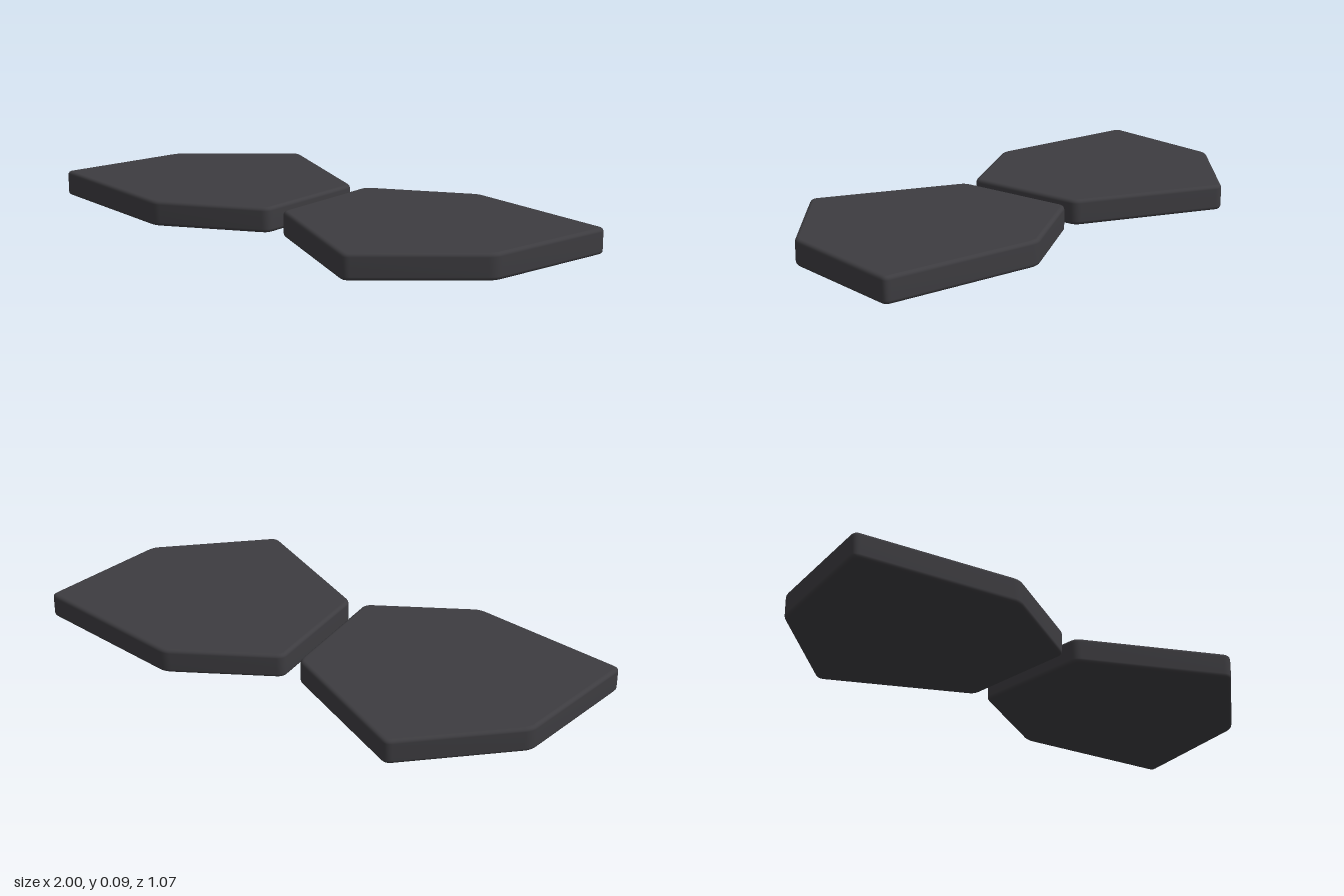
import * as THREE from 'three';
import { mergeVertices } from 'three/addons/utils/BufferGeometryUtils.js';

const HEIGHT = 0.09, BEVEL = 0.013, CORNER = 0.025;

// Corners of one slab as [x, z]
const OUTLINE = [
  [-1.007, 0.228], [-0.43, 0.385], [-0.044, 0.227],
  [-0.014, -0.226], [-0.488, -0.541], [-0.877, -0.256],
];

// Closed polygon with softly rounded corners
function roundedOutline(points) {
  const v = points.map(([x, z]) => new THREE.Vector2(x, -z));
  const shape = new THREE.Shape();
  v.forEach((p, i) => {
    const toward = (q) => q.clone().sub(p).setLength(CORNER).add(p);
    const a = toward(v[(i + v.length - 1) % v.length]);
    const b = toward(v[(i + 1) % v.length]);
    if (i === 0) shape.moveTo(a.x, a.y);
    else shape.lineTo(a.x, a.y);
    shape.quadraticCurveTo(p.x, p.y, b.x, b.y);
  });
  shape.closePath();
  return shape;
}

// Flat slab with a rounded rim and smooth, area-weighted normals
function slabGeometry() {
  const g = new THREE.ExtrudeGeometry(roundedOutline(OUTLINE), {
    depth: HEIGHT - 2 * BEVEL, curveSegments: 5,
    bevelEnabled: true, bevelThickness: BEVEL, bevelSize: BEVEL,
    bevelOffset: -BEVEL, bevelSegments: 4,
  });
  g.rotateX(-Math.PI / 2).translate(0, BEVEL, 0);
  g.deleteAttribute('uv');
  g.deleteAttribute('normal');
  g.clearGroups();
  const smooth = mergeVertices(g, 1e-4);
  smooth.computeVertexNormals();
  return smooth;
}

export function createModel() {
  const model = new THREE.Group();
  model.name = 'pavingSlabs';
  const charcoal = new THREE.MeshStandardMaterial({ color: 0x3d3c40 });
  charcoal.name = 'charcoal';

  // The second slab is the first turned half way round
  const geometry = slabGeometry();
  ['rightSlab', 'leftSlab'].forEach((name, i) => {
    const slab = new THREE.Mesh(geometry, charcoal);
    slab.name = name;
    slab.rotation.y = i * Math.PI;
    model.add(slab);
  });
  return model;
}
